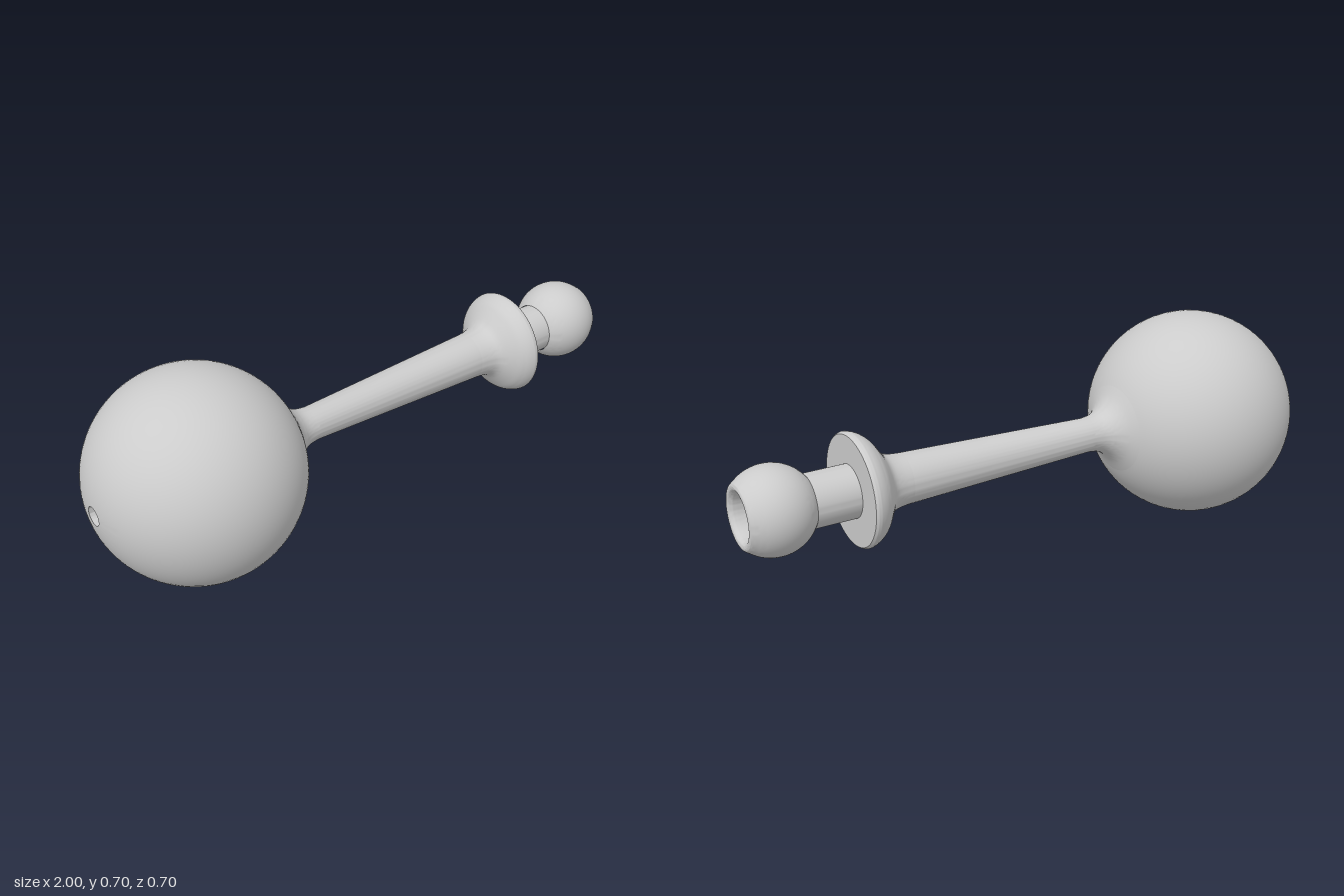
import * as THREE from 'three';
import { toCreasedNormals } from 'three/addons/utils/BufferGeometryUtils.js';

const SEGMENTS = 72;
const material = new THREE.MeshStandardMaterial({ color: 0xcccccc });

const v = (r, s) => new THREE.Vector2(r, s);

// Smooth profile through a few [radius, station] pairs
const smooth = (pairs, n) => new THREE.SplineCurve(pairs.map(([r, s]) => v(r, s))).getPoints(n);

// Circular arc about a station on the axis, from polar angle a to b (-90 = start pole, 90 = end pole)
function arc(r, centre, a, b, n) {
  return Array.from({ length: n + 1 }, (_, i) => {
    const t = THREE.MathUtils.degToRad(a + ((b - a) * i) / n);
    return v(r * Math.cos(t), centre + r * Math.sin(t));
  });
}

// Part turned around the long axis
function turned(name, points) {
  const geometry = toCreasedNormals(new THREE.LatheGeometry(points, SEGMENTS), 0.6);
  const mesh = new THREE.Mesh(geometry, material);
  mesh.name = name;
  return mesh;
}

export function createModel() {
  const model = new THREE.Group();
  model.name = 'ballHandle';
  const body = new THREE.Group();
  body.name = 'turnedBody';

  // Large ball with a small blind hole at its far pole
  body.add(turned('ball', [
    v(0, -0.27), v(0.02, -0.272), v(0.031, -0.285),
    ...arc(0.352, 0, -84.8, 66, 48),
  ]));

  // Slim shaft, flared where it meets the ball and widening toward the collar
  body.add(turned('shaft', [
    ...smooth([[0.147, 0.32], [0.108, 0.343], [0.08, 0.37], [0.064, 0.4], [0.058, 0.44]], 16),
    v(0.081, 1.12),
  ]));

  // Collar: bell-shaped toward the shaft, flat toward the knob
  body.add(turned('collar', [
    ...smooth([[0.081, 1.12], [0.085, 1.155], [0.097, 1.188], [0.13, 1.214], [0.157, 1.235],
      [0.174, 1.258], [0.182, 1.28], [0.181, 1.29], [0.176, 1.297]], 26),
    v(0.085, 1.297),
  ]));

  // Neck between collar and knob
  body.add(turned('neck', [v(0.085, 1.297), v(0.085, 1.442)]));

  // Round knob with a rolled rim and a domed socket in its end
  body.add(turned('knob', [
    ...arc(0.14, 1.55, -52, 38, 22),
    ...smooth([[0.106, 1.643], [0.1, 1.65], [0.092, 1.653], [0.082, 1.65], [0.075, 1.64],
      [0.073, 1.62], [0.072, 1.585], [0.062, 1.55], [0.037, 1.522], [0, 1.512]], 30),
  ]));

  // Lay the axis along x, swing the handle slightly back, and rest the ball on the ground
  body.rotation.set(0, THREE.MathUtils.degToRad(7.6), -Math.PI / 2, 'YXZ');
  body.position.set(-0.648, 0.352, 0);
  model.add(body);
  return model;
}
